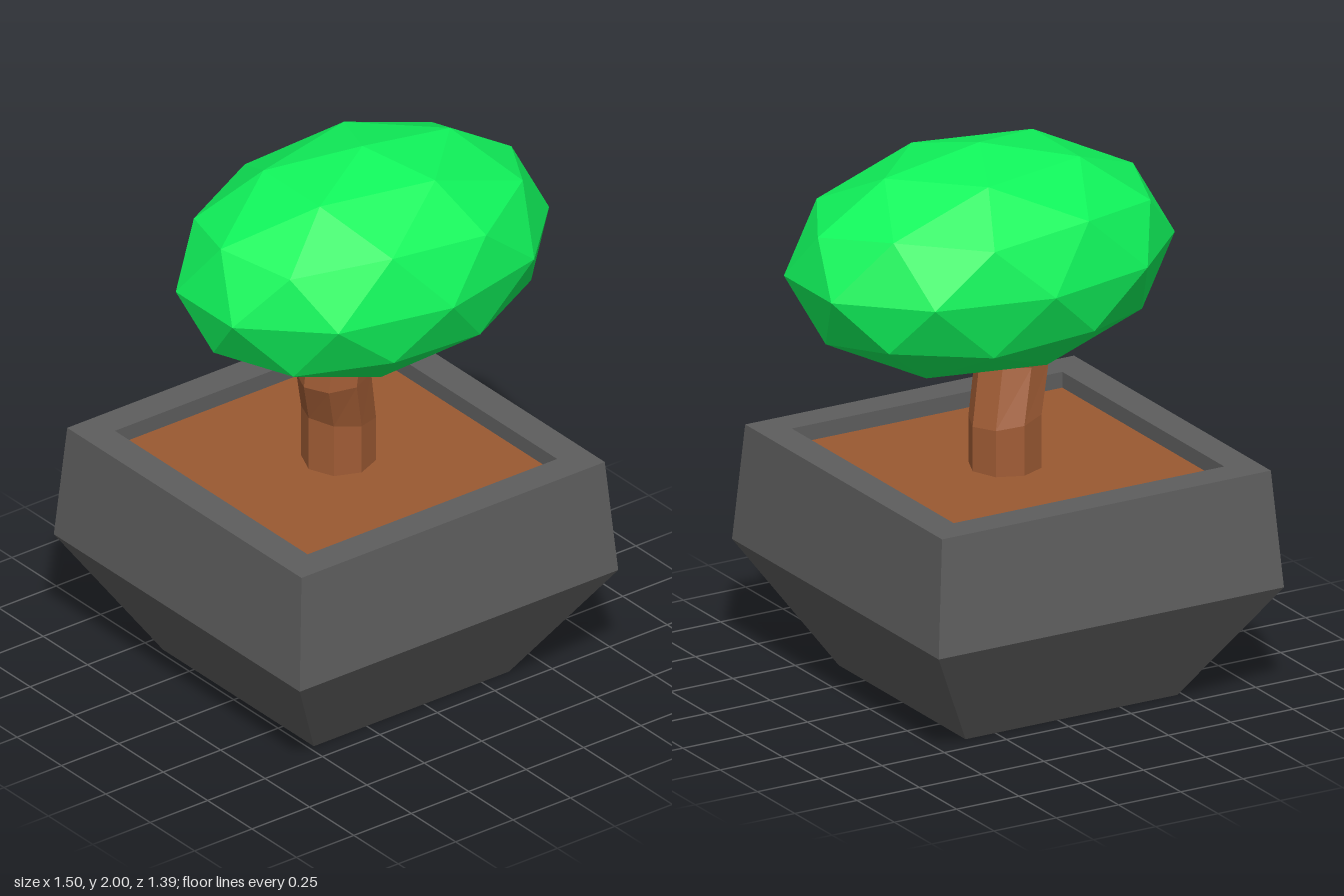
import * as THREE from 'three';

const mat = (color) => new THREE.MeshStandardMaterial({ color, flatShading: true });

function addPart(group, name, geometry, color) {
  const mesh = new THREE.Mesh(geometry, mat(color));
  mesh.name = name;
  group.add(mesh);
  return mesh;
}

// Square pot: a four-sided lathe; profile is [half width, height]
function potGeometry() {
  const profile = [[0, 0], [0.425, 0], [0.693, 0.43], [0.66, 0.855], [0.543, 0.855], [0.543, 0.79]];
  const points = profile.map(([w, y]) => new THREE.Vector2(w * Math.SQRT2, y));
  return new THREE.LatheGeometry(points, 4).rotateY(Math.PI / 4);
}

// Bent trunk: eight-sided cylinder whose rings are shifted and slightly tilted
function trunkGeometry() {
  const rings = [ // [centre x, y, centre z, tilt]
    [-0.04, 0.78, -0.005, 0],
    [-0.04, 0.98, -0.005, -0.15],
    [-0.092, 1.17, 0.035, 0.1],
    [-0.06, 1.4, 0.035, 0],
  ];
  const geometry = new THREE.CylinderGeometry(0.13, 0.13, 3, 8, 3);
  const p = geometry.attributes.position;
  for (let i = 0; i < p.count; i++) {
    const [cx, cy, cz, tilt] = rings[Math.round(p.getY(i) + 1.5)];
    p.setXYZ(i, p.getX(i) + cx, cy + tilt * p.getX(i), p.getZ(i) + cz);
  }
  geometry.computeVertexNormals();
  return geometry;
}

// Crown: stretched icosphere turned so one vertex points straight up
function crownGeometry() {
  const golden = (1 + Math.sqrt(5)) / 2;
  return new THREE.IcosahedronGeometry(1, 1)
    .rotateZ(-Math.atan2(1, golden))
    .scale(0.725, 0.41, 0.515);
}

export function createModel() {
  const group = new THREE.Group();
  group.name = 'pottedTree';

  addPart(group, 'pot', potGeometry(), 0x5e5e5e).position.x = -0.055;

  const soil = addPart(group, 'soil', new THREE.PlaneGeometry(1.086, 1.086).rotateX(-Math.PI / 2), 0x9a5932);
  soil.position.set(-0.055, 0.797, 0);

  addPart(group, 'trunk', trunkGeometry(), 0xa05c35);

  addPart(group, 'crown', crownGeometry(), 0x10f55b).position.set(0.06, 1.59, 0);

  return group;
}
